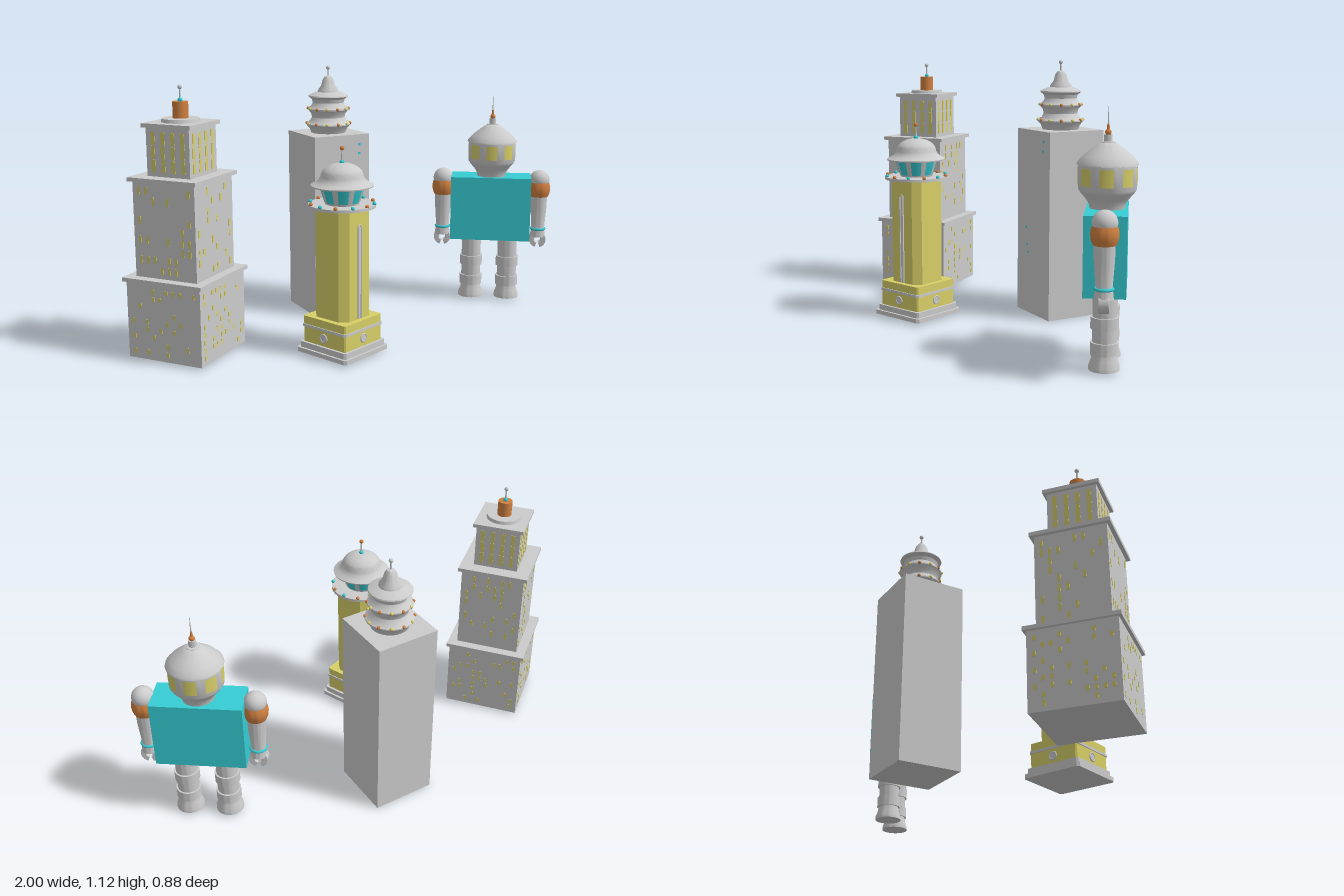
import * as THREE from 'three';
import { toCreasedNormals } from 'three/addons/utils/BufferGeometryUtils.js';

const mat = (color) => new THREE.MeshStandardMaterial({ color, side: THREE.DoubleSide });
const GREY = mat(0xcccccc), YELLOW = mat(0xd8d068), CYAN = mat(0x35cdd4), ORANGE = mat(0xd08040);

function add(parent, name, geometry, material, x = 0, y = 0, z = 0) {
  const mesh = new THREE.Mesh(geometry, material);
  mesh.name = name;
  mesh.position.set(x, y, z);
  parent.add(mesh);
  return mesh;
}

function place(root, name, x, z, turn) {
  const g = new THREE.Group();
  g.name = name;
  g.position.set(x, 0, z);
  g.rotation.y = turn;
  root.add(g);
  return g;
}

// Square block between two heights
const block = (g, name, m, s, y0, y1) =>
  add(g, name, new THREE.BoxGeometry(s, y1 - y0, s), m, 0, (y0 + y1) / 2, 0);

// Round part between two heights
const drum = (g, name, m, r0, r1, y0, y1, x = 0, z = 0) =>
  add(g, name, new THREE.CylinderGeometry(r1, r0, y1 - y0, 32), m, x, (y0 + y1) / 2, z);

const ball = (g, name, m, r, x, y, z) => add(g, name, new THREE.SphereGeometry(r, 16, 12), m, x, y, z);

// Turned part from [radius, height] pairs, with sharp edges kept
const turned = (g, name, m, pts, x = 0, z = 0) => add(g, name, toCreasedNormals(
  new THREE.LatheGeometry(pts.map((p) => new THREE.Vector2(...p)), 40), 0.6), m, x, 0, z);

// Square block with chamfered corners
function chamfered(g, name, m, s, c, y0, y1) {
  const h = s / 2, k = h - c;
  const shape = new THREE.Shape([[h, -k], [h, k], [k, h], [-k, h], [-h, k], [-h, -k], [-k, -h], [k, -h]]
    .map((p) => new THREE.Vector2(...p)));
  const geo = new THREE.ExtrudeGeometry(shape, { depth: y1 - y0, bevelEnabled: false }).rotateX(-Math.PI / 2);
  add(g, name, geo, m, 0, y0, 0);
}

// Ring of small lamps in alternating colours
function lamps(g, n, radius, y, r, materials) {
  for (let i = 0; i < n; i++) {
    const a = (i / n) * Math.PI * 2;
    ball(g, 'lamp', materials[i % materials.length], r, Math.sin(a) * radius, y, Math.cos(a) * radius);
  }
}

// Curved window panes set around a drum or cone
function panes(g, m, n, width, r0, r1, y0, y1) {
  for (let i = 0; i < n; i++) {
    const start = (i / n) * Math.PI * 2 - width / 2;
    add(g, 'curvedWindow', new THREE.CylinderGeometry(r1, r0, y1 - y0, 6, 1, true, start, width), m, 0, (y0 + y1) / 2, 0);
  }
}

// Mast with a bead at the foot and a ball at the tip
function antenna(g, y0, y1, bead, tip) {
  drum(g, 'mast', GREY, 0.004, 0.003, y0, y1);
  if (bead) ball(g, 'mastBead', bead, 0.01, 0, y0 + 0.005, 0);
  ball(g, 'mastTip', tip, 0.009, 0, y1, 0);
}

function seeded(seed) {
  return () => (seed = (seed * 16807) % 2147483647) / 2147483647;
}

function steppedTower(root) {
  const g = place(root, 'steppedTower', -0.752, -0.066, 0.6), rand = seeded(77);
  // size, bottom, top, cornice, window columns, rows, share lit, window width and height
  const tiers = [
    [0.338, 0.01, 0.325, 0.363, 10, 9, 0.35, 0.012, 0.02],
    [0.281, 0.34, 0.725, 0.312, 8, 9, 0.3, 0.011, 0.03],
    [0.196, 0.74, 0.933, 0.223, 4, 3, 1, 0.017, 0.05],
  ];
  for (const [s, y0, y1, cornice, cols, rows, lit, w, h] of tiers) {
    block(g, 'tier', GREY, s, y0, y1);
    block(g, 'cornice', GREY, cornice, y1, y1 + 0.016);
    const pane = new THREE.BoxGeometry(w, h, 0.003);
    for (let face = 0; face < 4; face++) {
      const wall = new THREE.Group();
      wall.name = 'windowWall';
      wall.rotation.y = face * Math.PI / 2;
      g.add(wall);
      for (let c = 0; c < cols; c++) for (let r = 0; r < rows; r++) {
        if (rand() > lit) continue;
        add(wall, 'window', pane, YELLOW, s * 0.92 * ((c + 0.5) / cols - 0.5),
          y0 + 0.015 + (y1 - y0 - 0.03) * (r + 0.5) / rows, s / 2);
      }
    }
  }
  drum(g, 'roofDisc', GREY, 0.077, 0.074, 0.949, 0.963);
  drum(g, 'roofTank', ORANGE, 0.031, 0.031, 0.963, 1.028);
  antenna(g, 1.028, 1.084, CYAN, GREY);
}

function lanternTower(root) {
  const g = place(root, 'lanternTower', -0.22, 0.275, 0.297);
  chamfered(g, 'footing', GREY, 0.268, 0.01, 0.01, 0.028);
  chamfered(g, 'footingStep', GREY, 0.248, 0.008, 0.028, 0.052);
  chamfered(g, 'plinth', YELLOW, 0.226, 0.006, 0.052, 0.16);
  chamfered(g, 'plinthMoulding', GREY, 0.234, 0.008, 0.116, 0.127);
  chamfered(g, 'shaft', YELLOW, 0.18, 0.03, 0.16, 0.612);
  // Roundels on every side of the plinth
  for (let i = 0; i < 4; i++) {
    const side = new THREE.Group();
    side.name = 'plinthSide';
    side.rotation.y = i * Math.PI / 2;
    g.add(side);
    add(side, 'roundelRing', new THREE.TorusGeometry(0.016, 0.004, 8, 24), GREY, 0, 0.086, 0.114);
    add(side, 'roundel', new THREE.CylinderGeometry(0.013, 0.013, 0.006, 20).rotateX(Math.PI / 2), GREY, 0, 0.086, 0.113);
  }
  // Tall framed slot on the front
  add(g, 'slot', new THREE.BoxGeometry(0.014, 0.375, 0.004), GREY, 0, 0.35, 0.09);
  for (const x of [-0.009, 0.009]) add(g, 'slotFrame', new THREE.BoxGeometry(0.004, 0.375, 0.01), GREY, x, 0.35, 0.091);
  add(g, 'slotHead', new THREE.TorusGeometry(0.009, 0.003, 8, 12, Math.PI), GREY, 0, 0.5375, 0.092);
  // Balcony, lantern and dome
  drum(g, 'balcony', GREY, 0.136, 0.136, 0.61, 0.622);
  lamps(g, 12, 0.13, 0.626, 0.008, [ORANGE, CYAN]);
  drum(g, 'lantern', GREY, 0.068, 0.092, 0.622, 0.698);
  panes(g, CYAN, 8, 0.52, 0.0715, 0.0905, 0.63, 0.69);
  const dome = [[0, 0.695], [0.125, 0.693], [0.126, 0.698], [0.106, 0.708], [0.093, 0.719], [0.086, 0.732]];
  for (let i = 1; i <= 10; i++) {
    const a = (i / 10) * Math.PI / 2;
    dome.push([0.086 * Math.cos(a), 0.732 + 0.054 * Math.sin(a)]);
  }
  turned(g, 'domeRoof', GREY, dome);
  antenna(g, 0.783, 0.844, CYAN, ORANGE);
}

function slabTower(root) {
  const g = place(root, 'slabTower', 0.056, -0.295, -0.066);
  block(g, 'slab', GREY, 0.272, 0, 0.82);
  // A few lit windows on the front
  for (const [x, y] of [[0.085, 0.775], [0.085, 0.735], [-0.06, 0.385], [-0.05, 0.31], [-0.045, 0.275]])
    add(g, 'window', new THREE.BoxGeometry(0.012, 0.01, 0.002), CYAN, x, y, 0.136);
  turned(g, 'pagodaSpire', GREY, [
    [0, 0.82], [0.078, 0.82], [0.086, 0.84], [0.1, 0.856], [0.1, 0.861], [0.083, 0.872], [0.074, 0.89],
    [0.078, 0.908], [0.092, 0.924], [0.092, 0.93], [0.076, 0.942], [0.07, 0.956], [0.075, 0.972],
    [0.09, 0.983], [0.088, 0.988], [0.062, 1.0], [0.048, 1.004], [0.046, 1.012], [0.032, 1.03],
    [0.026, 1.055], [0.016, 1.071], [0, 1.077]]);
  lamps(g, 12, 0.098, 0.862, 0.007, [ORANGE, YELLOW]);
  lamps(g, 12, 0.091, 0.929, 0.007, [ORANGE, YELLOW]);
  antenna(g, 1.07, 1.111, null, GREY);
}

function robot(root) {
  const g = place(root, 'robot', 0.77, 0.005, -0.7);
  add(g, 'body', new THREE.BoxGeometry(0.37, 0.297, 0.155), CYAN, 0, 0.448, 0);
  for (const side of [-1, 1]) {
    // Banded leg with a flared foot
    turned(g, 'leg', GREY, [
      [0, 0.01], [0.058, 0.01], [0.057, 0.025], [0.048, 0.05], [0.045, 0.07], [0.052, 0.07], [0.052, 0.115],
      [0.045, 0.115], [0.045, 0.165], [0.052, 0.165], [0.052, 0.21], [0.045, 0.21], [0.045, 0.3]], side * 0.085);
    // Arm with barrel shoulder, cuff and pincer hand
    const arm = new THREE.Group();
    arm.name = 'arm';
    arm.position.x = side * 0.225;
    g.add(arm);
    add(arm, 'shoulderCap', new THREE.SphereGeometry(0.046, 24, 16), GREY, 0, 0.581, 0);
    turned(arm, 'shoulderBarrel', ORANGE, [
      [0, 0.503], [0.042, 0.503], [0.049, 0.522], [0.051, 0.54], [0.049, 0.558], [0.042, 0.576], [0, 0.576]]);
    turned(arm, 'forearm', GREY, [[0.038, 0.505], [0.037, 0.45], [0.03, 0.35], [0.034, 0.325], [0.035, 0.31], [0, 0.31]]);
    add(arm, 'wristRing', new THREE.TorusGeometry(0.031, 0.006, 10, 28).rotateX(Math.PI / 2), CYAN, 0, 0.347, 0);
    const claw = new THREE.Shape();
    claw.absarc(0, 0, 0.036, -1.2, Math.PI + 1.2, false);
    claw.absarc(0, 0, 0.018, Math.PI + 1.2, -1.2, true);
    add(arm, 'hand', new THREE.ExtrudeGeometry(claw, {
      depth: 0.032, bevelSize: 0.003, bevelThickness: 0.004, bevelSegments: 2, curveSegments: 20,
    }).translate(0, 0, -0.016), GREY, 0, 0.297, 0);
  }
  // Lamp-shaped head with windows all round
  turned(g, 'head', GREY, [
    [0.065, 0.595], [0.068, 0.612], [0.08, 0.632], [0.1, 0.655], [0.108, 0.668], [0.108, 0.757], [0.114, 0.758],
    [0.112, 0.765], [0.092, 0.788], [0.068, 0.808], [0.042, 0.828], [0.027, 0.838], [0.027, 0.84],
    [0.016, 0.842], [0.015, 0.867], [0, 0.867]]);
  panes(g, YELLOW, 8, 0.46, 0.1095, 0.1095, 0.684, 0.748);
  ball(g, 'spikeBead', ORANGE, 0.012, 0, 0.875, 0);
  drum(g, 'spike', ORANGE, 0.007, 0.004, 0.875, 0.905);
  drum(g, 'spikeTip', GREY, 0.003, 0.001, 0.9, 0.97);
}

export function createModel() {
  const root = new THREE.Group();
  root.name = 'robotAndTowers';
  steppedTower(root);
  lanternTower(root);
  slabTower(root);
  robot(root);
  return root;
}
